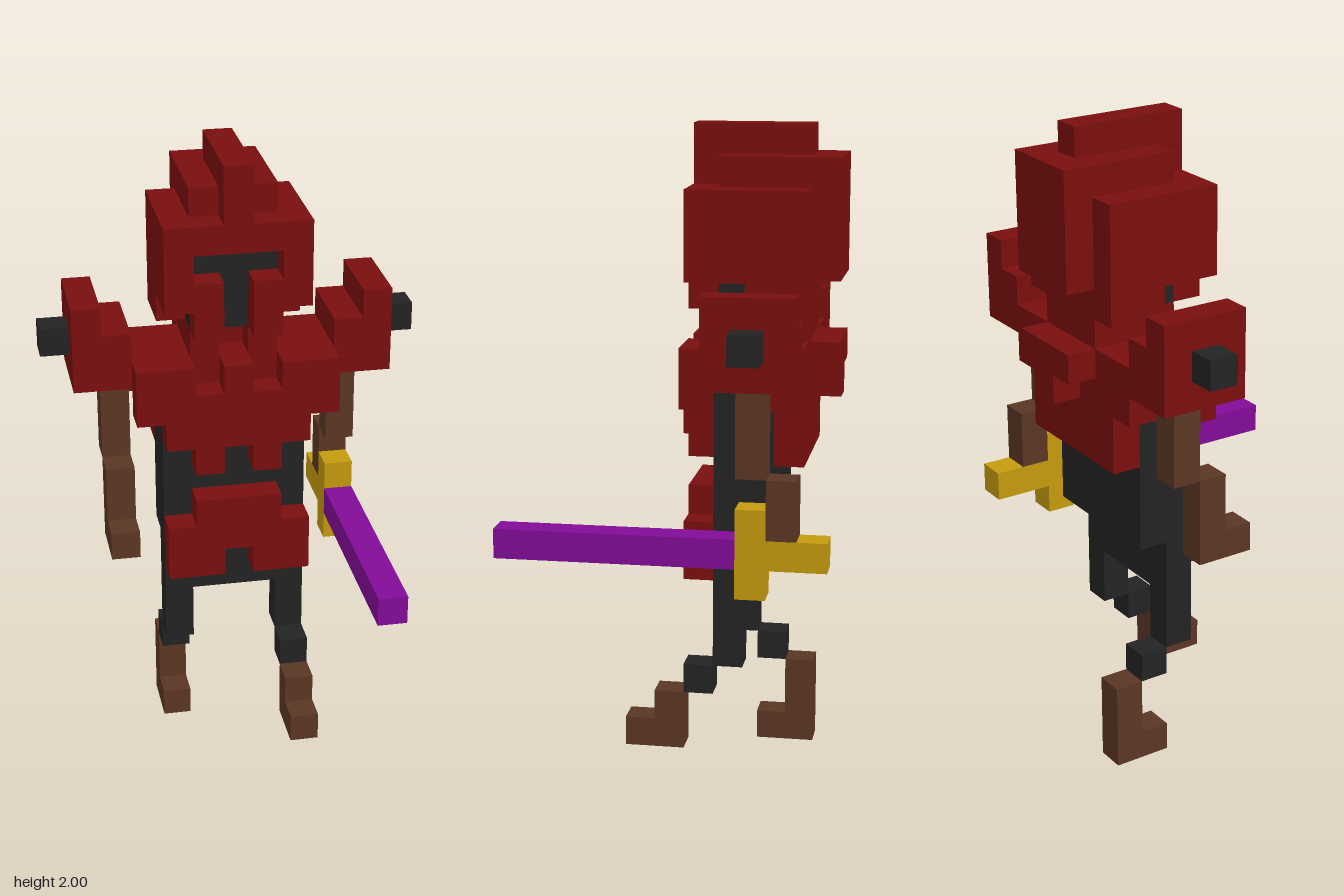
import * as THREE from 'three';

const U = 2 / 22; // edge of one block

const mat = (name, color) => {
  const m = new THREE.MeshStandardMaterial({ color });
  m.name = name;
  return m;
};

export function createModel() {
  const red = mat('armour red', 0x7a0e0e);
  const dark = mat('charcoal', 0x232323);
  const brown = mat('leather brown', 0x5a3624);
  const gold = mat('gold', 0xc49a0e);
  const purple = mat('blade purple', 0x820c98);

  const model = new THREE.Group();
  model.name = 'knight';

  const part = (name, parent = model) => {
    const g = new THREE.Group();
    g.name = name;
    parent.add(g);
    return g;
  };

  // Box covering whole blocks, from first to last index on each axis
  const block = (parent, name, material, [x0, x1], [y0, y1], [z0, z1]) => {
    const geo = new THREE.BoxGeometry((x1 - x0 + 1) * U, (y1 - y0 + 1) * U, (z1 - z0 + 1) * U);
    const mesh = new THREE.Mesh(geo, material);
    mesh.position.set(((x0 + x1) / 2) * U, ((y0 + y1 + 1) / 2) * U, ((z0 + z1) / 2) * U);
    mesh.name = name;
    parent.add(mesh);
  };

  // Torso and hips
  const torso = part('torso');
  block(torso, 'body', dark, [-2, 2], [8, 13], [-3, -2]);
  block(torso, 'hips', dark, [-2, 2], [6, 7], [-2, -2]);

  // Breastplate, stepped towards the waist
  const chest = part('breastplate');
  block(chest, 'collarPlate', red, [-3, 3], [14, 14], [-4, -2]);
  block(chest, 'chestUpper', red, [-3, 3], [13, 13], [-1, -1]);
  block(chest, 'chestLower', red, [-2, 2], [12, 12], [-1, -1]);
  block(chest, 'throatPlate', red, [0, 0], [14, 14], [-1, -1]);
  for (const s of [-1, 1]) {
    block(chest, 'chestTab', red, [s, s], [11, 11], [-1, -1]);
    block(chest, 'collarFront', red, s > 0 ? [2, 3] : [-3, -2], [14, 14], [-1, -1]);
  }

  // Back plate
  const back = part('backPlate');
  block(back, 'backUpper', red, [-3, 3], [13, 13], [-4, -4]);
  block(back, 'backLower', red, [-2, 2], [11, 12], [-4, -4]);
  block(back, 'backRidge', red, [-1, 1], [14, 14], [-5, -5]);
  block(back, 'backRidgeTip', red, [0, 0], [13, 13], [-5, -5]);

  // Waist guard
  const guard = part('waistGuard');
  block(guard, 'guardTop', red, [-1, 1], [9, 9], [-1, -1]);
  block(guard, 'guardMiddle', red, [-2, 2], [8, 8], [-1, -1]);
  for (const s of [-1, 1]) {
    block(guard, 'guardFlap', red, s > 0 ? [1, 2] : [-2, -1], [7, 7], [-1, -1]);
  }

  // Helmet with visor and crest
  const helmet = part('helmet');
  block(helmet, 'neck', red, [-1, 1], [15, 15], [-4, -3]);
  block(helmet, 'face', dark, [-1, 1], [16, 18], [-2, -2]);
  block(helmet, 'brow', red, [-2, 2], [19, 19], [-4, -1]);
  block(helmet, 'skull', red, [-2, 2], [16, 18], [-4, -3]);
  block(helmet, 'rear', red, [-1, 1], [17, 20], [-5, -5]);
  block(helmet, 'crown', red, [-1, 1], [20, 20], [-4, -2]);
  block(helmet, 'crest', red, [0, 0], [21, 21], [-4, -1]);
  block(helmet, 'crestFront', red, [0, 0], [20, 20], [-1, -1]);
  for (const s of [-1, 1]) {
    block(helmet, 'helmetSide', red, [2 * s, 2 * s], [17, 18], [-2, -1]);
    block(helmet, 'cheekGuard', red, [s, s], [16, 17], [-1, -1]);
    block(helmet, 'chinStrap', red, [s, s], [15, 15], [-2, -2]);
  }

  // Shoulder guards with studs, and upper arms
  for (const s of [-1, 1]) {
    const shoulder = part(s > 0 ? 'leftShoulder' : 'rightShoulder');
    block(shoulder, 'shoulderPad', red, s > 0 ? [4, 5] : [-5, -4], [14, 15], [-4, -2]);
    block(shoulder, 'shoulderRim', red, [5 * s, 5 * s], [16, 16], [-4, -2]);
    block(shoulder, 'stud', dark, [6 * s, 6 * s], [15, 15], [-3, -3]);
    block(shoulder, 'upperArm', brown, [4 * s, 4 * s], [11, 13], [-3, -3]);
  }

  // Forearms, the right one swinging forward
  const arms = part('forearms');
  block(arms, 'leftForearm', brown, [4, 4], [9, 10], [-4, -4]);
  block(arms, 'rightForearm', brown, [-4, -4], [9, 10], [-2, -2]);
  block(arms, 'rightHand', brown, [-4, -4], [8, 8], [-2, -1]);

  // Sword in the left hand
  const sword = part('sword');
  block(sword, 'crossGuard', gold, [4, 4], [7, 9], [-3, -3]);
  block(sword, 'handle', gold, [4, 4], [8, 8], [-5, -4]);
  block(sword, 'blade', purple, [4, 4], [8, 8], [-2, 5]);

  // Legs in mid stride: left forward, right back
  const leftLeg = part('leftLeg');
  block(leftLeg, 'thigh', dark, [2, 2], [4, 5], [-2, -2]);
  block(leftLeg, 'knee', dark, [2, 2], [3, 3], [-1, -1]);
  block(leftLeg, 'shin', brown, [2, 2], [2, 2], [0, 0]);
  block(leftLeg, 'foot', brown, [2, 2], [1, 1], [0, 1]);

  const rightLeg = part('rightLeg');
  block(rightLeg, 'thigh', dark, [-2, -2], [4, 5], [-2, -2]);
  block(rightLeg, 'knee', dark, [-2, -2], [3, 3], [-3, -3]);
  block(rightLeg, 'shin', brown, [-2, -2], [1, 2], [-4, -4]);
  block(rightLeg, 'foot', brown, [-2, -2], [0, 0], [-4, -3]);

  return model;
}
